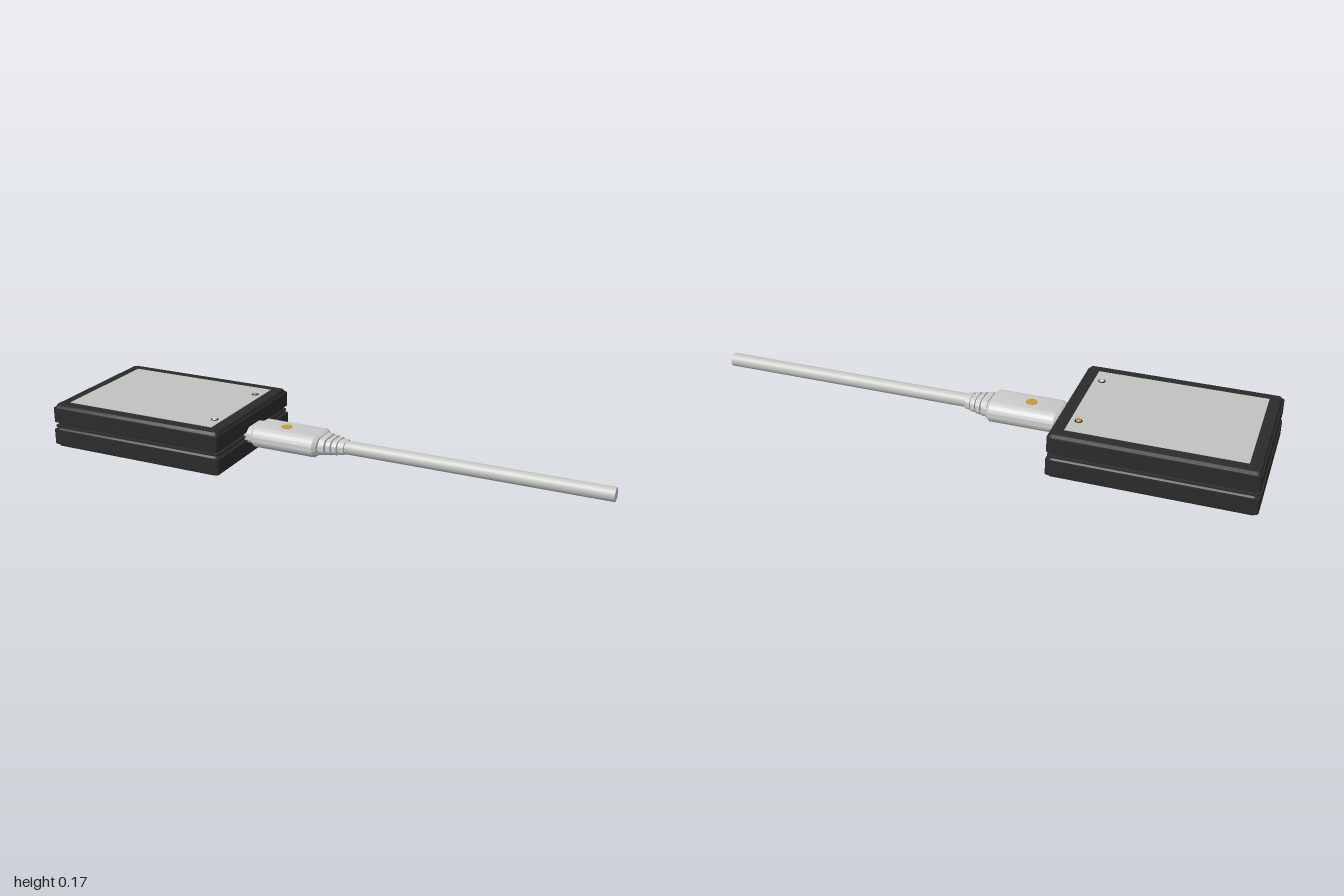
import * as THREE from 'three';
import { toCreasedNormals } from 'three/addons/utils/BufferGeometryUtils.js';

const mat = (name, color) => {
  const m = new THREE.MeshStandardMaterial({ color });
  m.name = name;
  return m;
};

// Closed loft along y through rounded rectangles: levels of [y, halfX, halfZ, cornerRadius]
function loft(levels, seg = 6, crease = 0.6) {
  const pos = [], idx = [], n = 4 * (seg + 1);
  for (const [y, hx, hz, r] of levels) {
    for (let c = 0; c < 4; c++) {
      const sx = c === 0 || c === 3 ? 1 : -1, sz = c < 2 ? 1 : -1;
      for (let k = 0; k <= seg; k++) {
        const a = (c + k / seg) * Math.PI / 2;
        pos.push(sx * (hx - r) + r * Math.cos(a), y, sz * (hz - r) + r * Math.sin(a));
      }
    }
  }
  const last = levels.length - 1;
  for (let j = 0; j < last; j++) {
    for (let i = 0; i < n; i++) {
      const a = j * n + i, b = j * n + (i + 1) % n;
      idx.push(a, a + n, b, b, a + n, b + n);
    }
  }
  const c0 = pos.length / 3;
  pos.push(0, levels[0][0], 0, 0, levels[last][0], 0);
  for (let i = 0; i < n; i++) {
    const k = (i + 1) % n;
    idx.push(c0, i, k, c0 + 1, last * n + k, last * n + i);
  }
  const g = new THREE.BufferGeometry();
  g.setAttribute('position', new THREE.Float32BufferAttribute(pos, 3));
  g.setIndex(idx);
  return toCreasedNormals(g, crease);
}

export function createModel() {
  const model = new THREE.Group();
  const black = mat('black plastic', 0x2b2b2b);
  const screenGrey = mat('screen grey', 0xc0c3c1);
  const plugGrey = mat('pale grey plastic', 0xcbcdcc);
  const cableGrey = mat('cable grey', 0xc3c5c3);
  const gold = mat('gold indicator', 0xc89a3c);
  const dark = mat('dark slot', 0x222222);

  const add = (name, geo, material, x = 0, y = 0, z = 0, parent = model) => {
    const m = new THREE.Mesh(geo, material);
    m.name = name;
    m.position.set(x, y, z);
    parent.add(m);
    return m;
  };

  // Case: two shells with a bead in the groove between them
  const bx = -0.6525, HX = 0.3475, HZ = 0.267;
  const shell = rows => loft(rows.map(([y, inset]) => [y, HX - inset, HZ - inset, 0.012]));
  const body = new THREE.Group();
  body.name = 'caseBody';
  body.position.x = bx;
  model.add(body);
  add('lowerShell', shell([[0, 0.01], [0.01, 0.008], [0.01, 0], [0.064, 0], [0.064, 0.008], [0.07, 0.013]]), black, 0, 0, 0, body);
  add('grooveCore', shell([[0.06, 0.014], [0.1, 0.014]]), black, 0, 0, 0, body);
  add('grooveBead', shell([[0.072, 0.01], [0.074, 0.005], [0.08, 0.005], [0.082, 0.01]]), black, 0, 0, 0, body);
  add('upperShell', shell([[0.088, 0.013], [0.094, 0.009], [0.094, 0.002], [0.147, 0.002], [0.148, 0.007], [0.159, 0.012], [0.16, 0.04]]), black, 0, 0, 0, body);

  // Screen plate and its two small lights
  add('screen', new THREE.BoxGeometry(0.596, 0.004, 0.436), screenGrey, -0.653, 0.1595, 0);
  const dot = new THREE.CylinderGeometry(0.008, 0.011, 0.005, 24);
  const rim = new THREE.CylinderGeometry(0.0125, 0.0135, 0.003, 24);
  for (const [z, m, name] of [[-0.147, gold, 'goldLight'], [0.148, plugGrey, 'greyLight']]) {
    add(name + 'Rim', rim, black, -0.383, 0.162, z);
    add(name, dot, m, -0.383, 0.163, z);
  }

  // Plug and strain relief, lofted along x
  const cy = 0.078;
  const alongX = (name, rows, m) => {
    const geo = loft(rows.map(([x, hy, hz]) => [x, hy, hz, Math.min(hy, hz) * 0.98]), 10);
    geo.rotateZ(-Math.PI / 2);
    return add(name, geo, m, 0, cy, 0);
  };
  alongX('plugNeck', [[-0.32, 0.03, 0.062], [-0.28, 0.03, 0.062]], plugGrey);
  alongX('plugBody', [[-0.287, 0.031, 0.067], [-0.275, 0.0385, 0.077], [-0.042, 0.0385, 0.077], [-0.03, 0.031, 0.066]], plugGrey);
  alongX('reliefCore', [[-0.04, 0.025, 0.046], [0.065, 0.022, 0.025]], plugGrey);
  const rings = [[-0.027, -0.006, 0.031, 0.058], [0.0, 0.015, 0.029, 0.052], [0.021, 0.036, 0.027, 0.046], [0.042, 0.06, 0.025, 0.037]];
  rings.forEach(([x0, x1, hy, hz], i) =>
    alongX('reliefRing' + (i + 1), [[x0, hy, hz], [x1, hy - 0.001, hz - 0.003]], plugGrey));

  // Indicator on the top of the plug, slot underneath
  add('plugIndicator', new THREE.CylinderGeometry(0.02, 0.02, 0.004, 32), gold, -0.175, 0.1165, 0);
  add('plugSlot', new THREE.BoxGeometry(0.13, 0.004, 0.03), dark, -0.165, 0.039, 0);

  // Cable
  const cable = add('cable', new THREE.CylinderGeometry(0.0245, 0.0245, 0.95, 32), cableGrey, 0.525, cy, 0);
  cable.rotation.z = -Math.PI / 2;

  return model;
}
